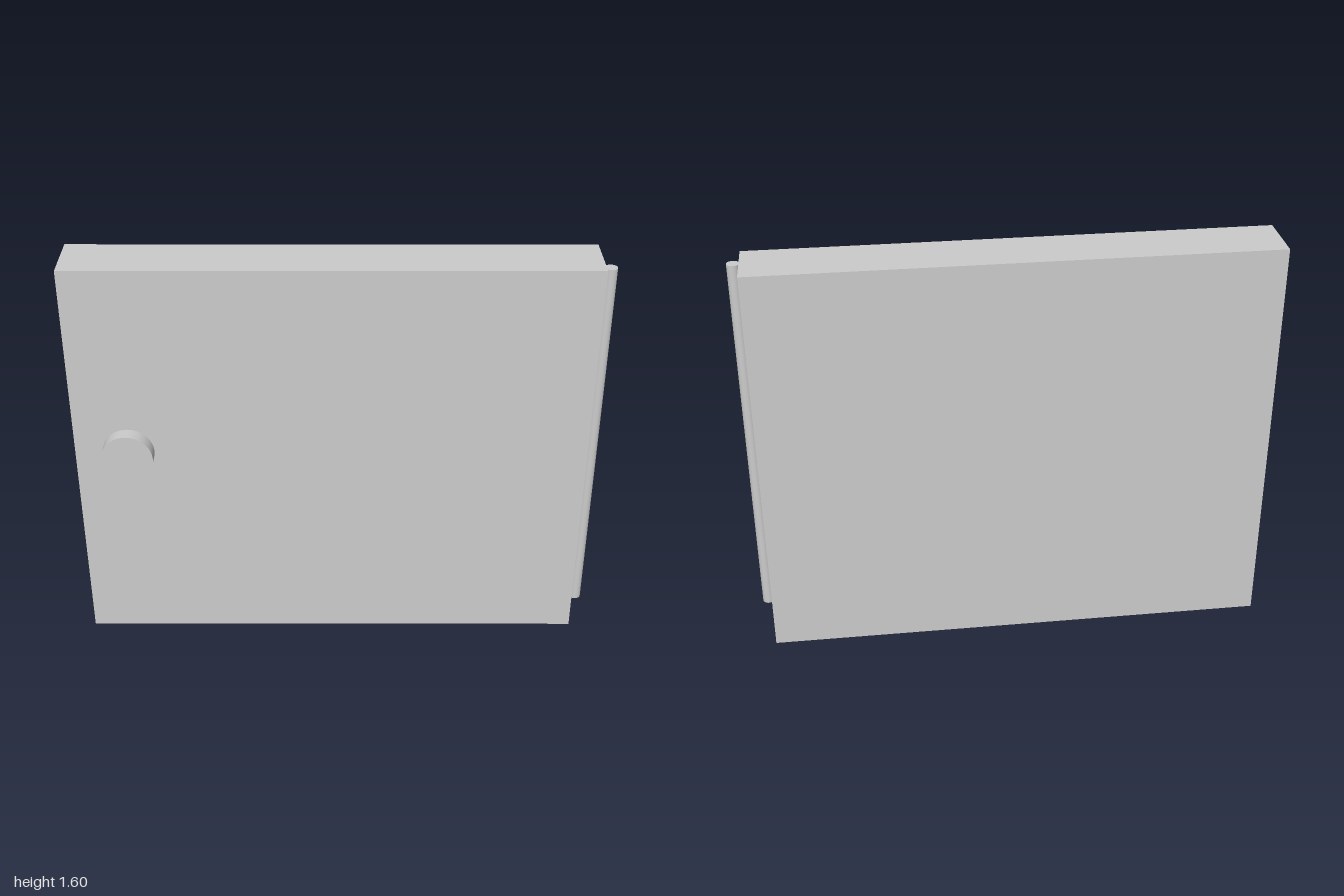
import * as THREE from 'three';

export function createModel() {
  const model = new THREE.Group();
  const material = new THREE.MeshStandardMaterial({ color: 0xcccccc });

  const add = (name, geometry, x, y, z) => {
    const mesh = new THREE.Mesh(geometry, material);
    mesh.name = name;
    mesh.position.set(x, y, z);
    model.add(mesh);
    return mesh;
  };

  // Thick door slab
  const width = 1.953, height = 1.6, back = -0.142, front = 0.085;
  add('doorPanel', new THREE.BoxGeometry(width, height, front - back),
    -1 + width / 2, height / 2, (front + back) / 2);

  // Round knob on the front face
  const knobDepth = 0.142 - front;
  const knob = add('knob', new THREE.CylinderGeometry(0.098, 0.098, knobDepth, 48),
    -0.796, 0.845, front + knobDepth / 2);
  knob.rotation.x = Math.PI / 2;

  // Hinge rod along the side edge
  const rodBottom = 0.1, rodTop = 1.583, rodRadius = 0.0235;
  add('hingeRod', new THREE.CylinderGeometry(rodRadius, rodRadius, rodTop - rodBottom, 32),
    1 - rodRadius, (rodBottom + rodTop) / 2, 0.018);

  return model;
}
